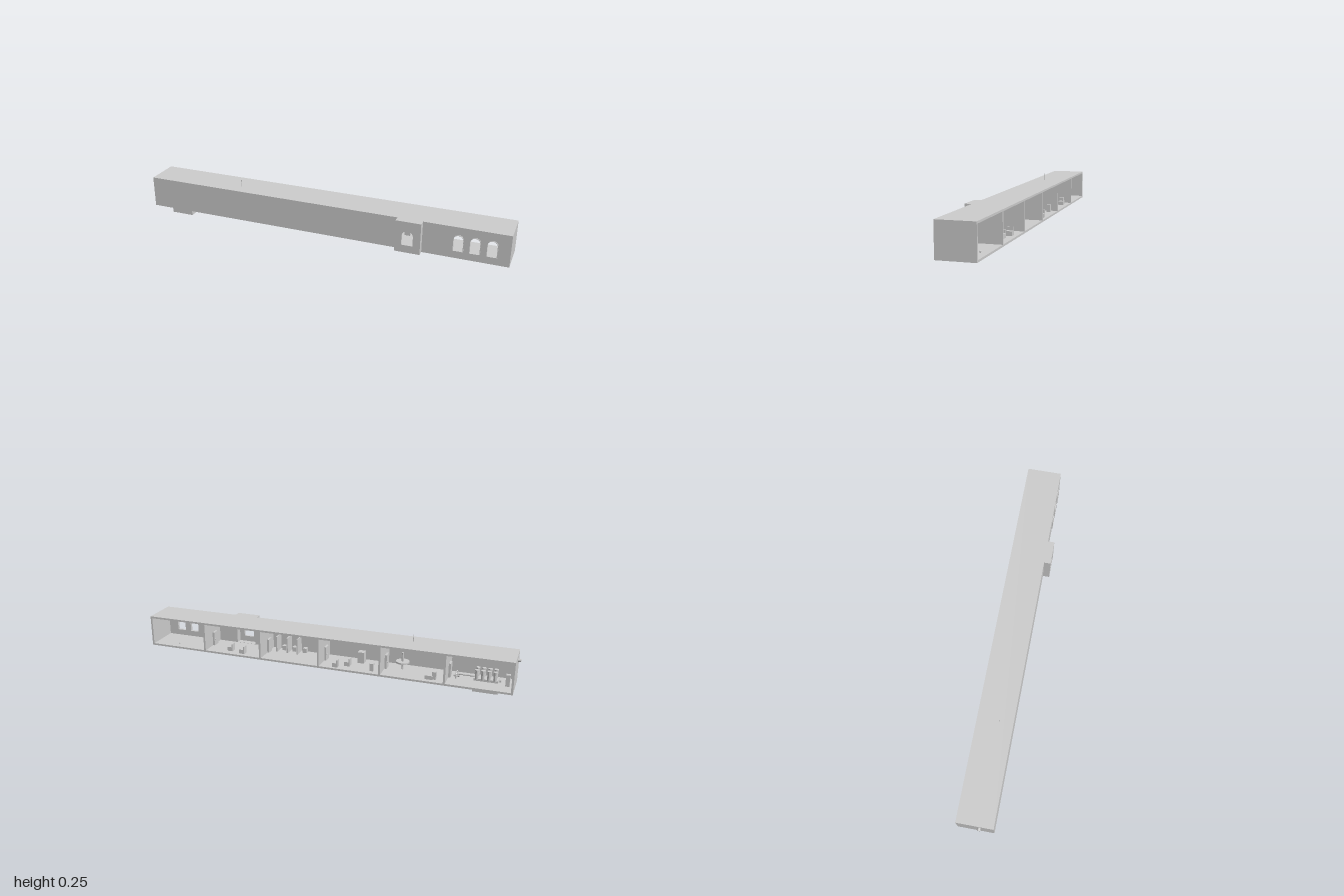
import * as THREE from 'three';

const mat = new THREE.MeshStandardMaterial({ color: 0xcccccc, flatShading: true });
const X0 = -0.985, X1 = 0.998, Y0 = 0.05, Y1 = 0.218, ZB = -0.11, ZF = 0.075, T = 0.01;
const FLOOR = Y0 + T;

export function createModel() {
  const root = new THREE.Group();
  const add = (name, geo, x = 0, y = 0, z = 0) => {
    const m = new THREE.Mesh(geo, mat);
    m.name = name;
    m.position.set(x, y, z);
    root.add(m);
    return m;
  };
  // box given by its minimum and maximum corners
  const box = (name, x0, x1, y0, y1, z0, z1) =>
    add(name, new THREE.BoxGeometry(x1 - x0, y1 - y0, z1 - z0), (x0 + x1) / 2, (y0 + y1) / 2, (z0 + z1) / 2);
  // box standing on the floor
  const block = (name, x, z, w, h, d, y = FLOOR) => box(name, x - w / 2, x + w / 2, y, y + h, z - d / 2, z + d / 2);
  const rod = (name, r, h, x, y, z, sides = 8) => add(name, new THREE.CylinderGeometry(r, r, h, sides), x, y, z);

  const rect = (S, x0, x1, y0, y1) => {
    const s = new S();
    s.moveTo(x0, y0); s.lineTo(x1, y0); s.lineTo(x1, y1); s.lineTo(x0, y1); s.closePath();
    return s;
  };
  const arch = (S, cx, w, y0, y1) => {
    const s = new S(), r = w / 2;
    s.moveTo(cx - r, y0); s.lineTo(cx + r, y0); s.lineTo(cx + r, y1 - r);
    s.absarc(cx, y1 - r, r, 0, Math.PI, false);
    s.closePath();
    return s;
  };
  const extrude = (name, shape, depth, z) =>
    add(name, new THREE.ExtrudeGeometry(shape, { depth, bevelEnabled: false, curveSegments: 8 }), 0, 0, z);

  // shell: floor, roof and end walls, open at the back
  box('floor', X0, X1, Y0, FLOOR, ZB, ZF);
  box('roof', X0, X1, Y1 - T, Y1, ZB, ZF);
  box('rightEndWall', X0, X0 + T, FLOOR, Y1 - T, ZB, ZF);
  box('leftEndWall', X1 - T, X1, FLOOR, Y1 - T, ZB, ZF);

  // front wall with arched windows and the opening into the bay
  const windows = [0.745, 0.827, 0.91];
  const wall = rect(THREE.Shape, X0 + T, X1 - T, FLOOR, Y1 - T);
  wall.holes.push(rect(THREE.Path, 0.445, 0.555, FLOOR + 0.001, Y1 - T - 0.001));
  windows.forEach(x => wall.holes.push(arch(THREE.Path, x, 0.05, 0.09, 0.175)));
  extrude('frontWall', wall, T, ZF - T);
  windows.forEach(x => {
    const frame = arch(THREE.Shape, x, 0.055, 0.0875, 0.1775);
    frame.holes.push(arch(THREE.Path, x, 0.049, 0.0905, 0.1745));
    extrude('windowFrame', frame, 0.015, ZF - T);
  });

  // projecting bay
  const bay = rect(THREE.Shape, 0.435, 0.565, Y0, Y1);
  bay.holes.push(arch(THREE.Path, 0.498, 0.058, 0.09, 0.168));
  extrude('bayFront', bay, T, 0.1);
  box('bayFloor', 0.435, 0.565, Y0, FLOOR, ZF, 0.1);
  box('bayRoof', 0.435, 0.565, Y1 - T, Y1, ZF, 0.1);
  for (const x of [0.435, 0.555]) box('baySide', x, x + T, FLOOR, Y1 - T, ZF, 0.1);

  // partitions, each with a door on its right side
  for (let i = 0; i < 5; i++) {
    const x = 0.668 - i * 0.33;
    box('partition', x - T / 2, x + T / 2, FLOOR, Y1 - T, ZB, ZF - T);
    box('door', x - 0.016, x - T / 2, FLOOR, FLOOR + 0.075, -0.025, 0.015);
    add('doorKnob', new THREE.SphereGeometry(0.003, 8, 6), x - 0.018, FLOOR + 0.035, -0.018);
  }
  add('floorKnob', new THREE.SphereGeometry(0.005, 8, 6), 0.85, FLOOR + 0.005, -0.07);

  // seats
  const seat = (x, z, s = 0.03) => {
    block('seat', x, z, s, s * 0.75, s);
    block('seatBack', x - s * 0.4, z, s * 0.2, s * 0.6, s, FLOOR + s * 0.75);
  };
  [[0.533, -0.058], [0.456, -0.073], [-0.079, -0.08], [-0.134, -0.045]].forEach(([x, z]) => seat(x, z));

  // stalls
  for (const x of [0.29, 0.228, 0.17]) block('stallPanel', x, 0.035, 0.007, 0.085, 0.06);
  for (const x of [0.26, 0.2, 0.14]) block('stallSeat', x, 0.05, 0.022, 0.025, 0.025);

  // tables and cabinets
  block('tallCabinet', -0.19, 0.02, 0.035, 0.06, 0.035);
  block('sideTable', -0.272, -0.07, 0.02, 0.04, 0.02);
  block('bench', -0.57, -0.07, 0.04, 0.02, 0.03);
  block('benchCabinet', -0.595, -0.065, 0.02, 0.04, 0.025);

  // wheel with spokes, its axle along x
  const wheel = (x, y, z, r) => {
    const g = new THREE.Group();
    g.name = 'wheel';
    const rim = new THREE.Mesh(new THREE.TorusGeometry(r, r * 0.14, 6, 20), mat);
    rim.name = 'wheelRim';
    g.add(rim);
    for (let i = 0; i < 3; i++) {
      const spoke = new THREE.Mesh(new THREE.BoxGeometry(r * 2, r * 0.12, r * 0.12), mat);
      spoke.name = 'wheelSpoke';
      spoke.rotation.z = i * Math.PI / 3;
      g.add(spoke);
    }
    const hub = new THREE.Mesh(new THREE.CylinderGeometry(r * 0.25, r * 0.25, 0.03, 8), mat);
    hub.name = 'wheelHub';
    hub.rotation.x = Math.PI / 2;
    g.add(hub);
    g.rotation.y = Math.PI / 2;
    g.position.set(x, y, z);
    root.add(g);
  };
  wheel(-0.695, 0.065, 0.003, 0.025);

  // periscope column through the floor, with a round collar
  rod('column', 0.006, 0.12, -0.415, 0.09, 0.004);
  rod('columnCollar', 0.035, 0.008, -0.415, 0.1, 0.004, 16);
  rod('antenna', 0.0015, 0.055, -0.465, 0.2275, 0.006, 6);

  // engine group above the box under the floor
  box('keelBox', -0.905, -0.78, 0, Y0, -0.018, 0.027);
  block('engineBase', -0.843, 0.004, 0.12, 0.012, 0.045);
  for (let i = 0; i < 4; i++)
    for (const z of [-0.015, 0.022]) {
      rod('engineCylinder', 0.009, 0.045, -0.887 + i * 0.03, 0.09, z);
      rod('engineCap', 0.011, 0.006, -0.887 + i * 0.03, 0.115, z);
    }
  rod('drainPin', 0.004, 0.04, -0.912, 0.05, 0.003);
  const shaft = rod('engineShaft', 0.005, 0.1, -0.745, 0.075, 0.004);
  shaft.rotation.z = Math.PI / 2;
  block('enginePanel', -0.95, -0.03, 0.02, 0.06, 0.02);

  // exhaust pipe through the right end wall
  const pipe = rod('exhaustPipe', 0.008, 0.05, -0.975, 0.188, 0.004, 12);
  pipe.rotation.z = Math.PI / 2;

  // the whole is already centred and stands on y = 0
  return root;
}
